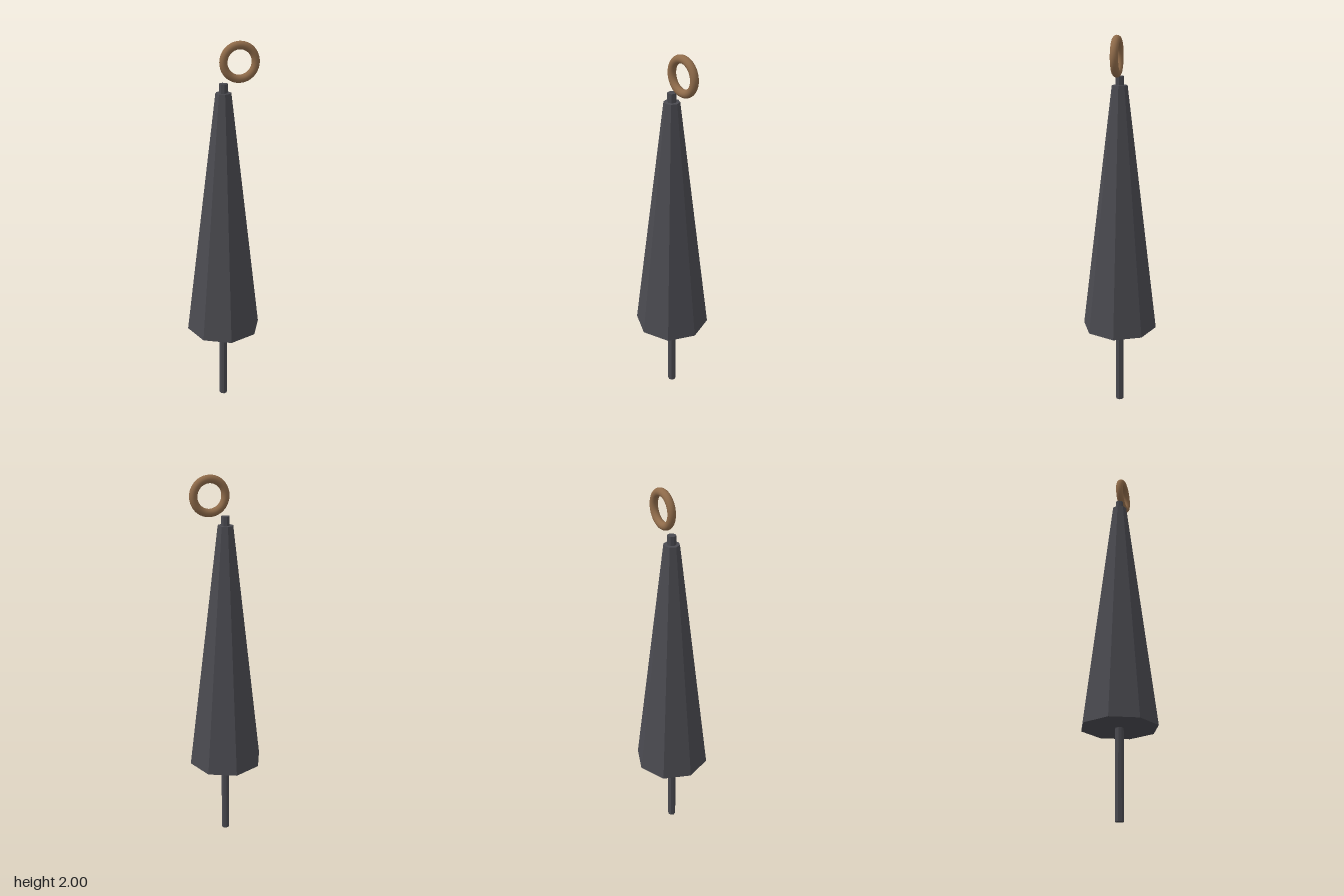
import * as THREE from 'three';

export function createModel() {
  const model = new THREE.Group();
  const fabric = new THREE.MeshStandardMaterial({ name: 'charcoal', color: 0x4a4a50, flatShading: true });
  const wood = new THREE.MeshStandardMaterial({ name: 'brown wood', color: 0x8f6b4a });

  const add = (name, geometry, material, x, y) => {
    const mesh = new THREE.Mesh(geometry, material);
    mesh.name = name;
    mesh.position.set(x, y, 0);
    model.add(mesh);
  };

  // Closed eight-sided canopy, widest at the bottom
  const bottom = 0.455, top = 1.755;
  add('canopy', new THREE.CylinderGeometry(0.04, 0.2, top - bottom, 8), fabric, 0, (top + bottom) / 2);

  // Shaft running through the canopy
  add('shaft', new THREE.CylinderGeometry(0.022, 0.022, 1.8, 8), fabric, 0, 0.9);

  // Ring handle, set off to one side above the shaft
  add('ringHandle', new THREE.TorusGeometry(0.08, 0.02, 16, 40), wood, 0.08, 1.9);

  return model;
}
